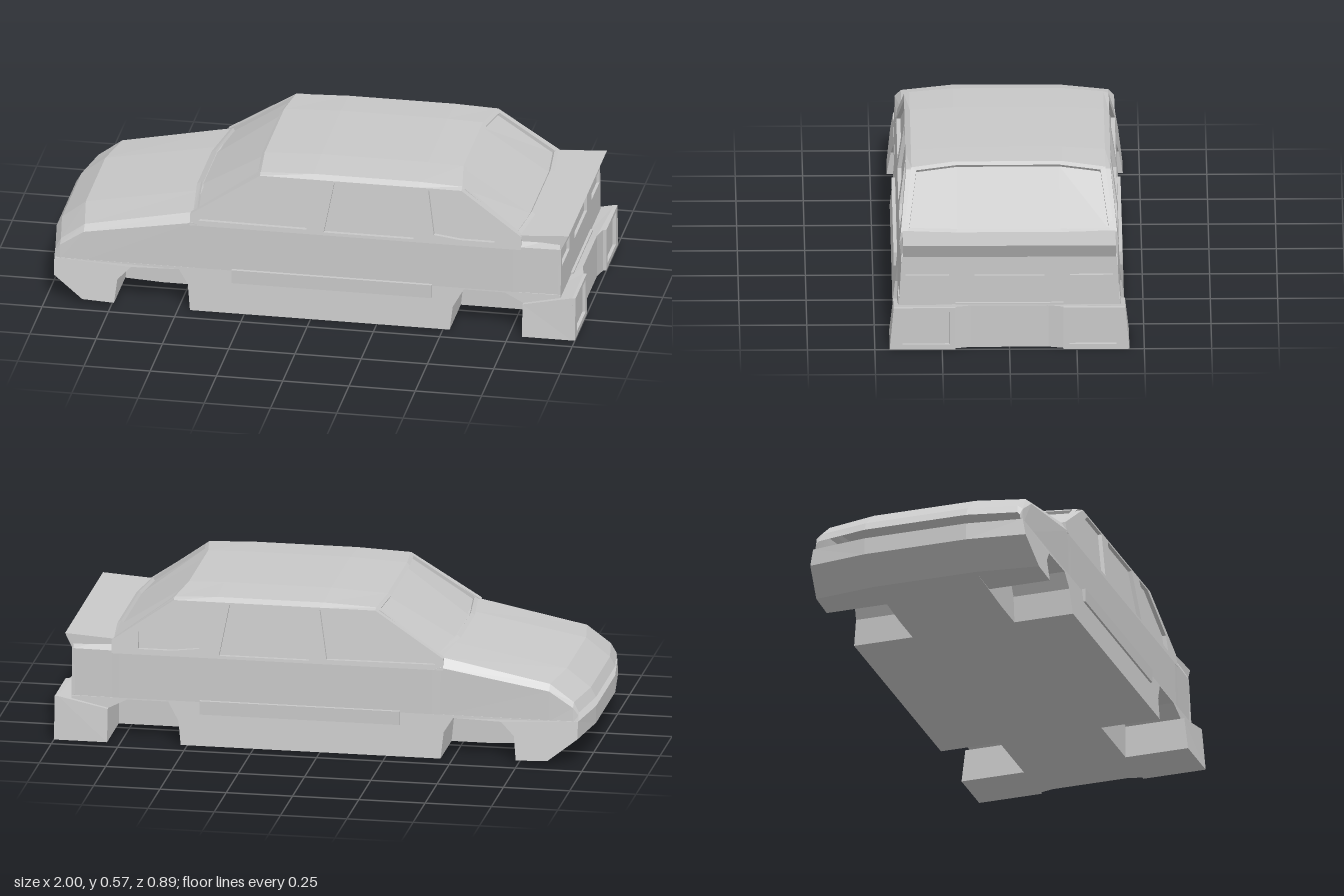
import * as THREE from 'three';

const paint = new THREE.MeshStandardMaterial({ color: 0xc8c8c8, flatShading: true, side: THREE.DoubleSide });
paint.name = 'light grey';

const shapeOf = (pts, holes = []) => {
  const s = new THREE.Shape(pts.map(p => new THREE.Vector2(...p)));
  for (const h of holes) s.holes.push(new THREE.Path(h.map(p => new THREE.Vector2(...p))));
  return s;
};
const extrude = (pts, depth, holes) =>
  new THREE.ExtrudeGeometry(shapeOf(pts, holes), { depth, bevelEnabled: false });
const rect = (x0, x1, y0, y1) => [[x0, y0], [x1, y0], [x1, y1], [x0, y1]];

// Moves every vertex by a rule
function warp(geo, rule) {
  const p = geo.attributes.position;
  for (let i = 0; i < p.count; i++) p.setXYZ(i, ...rule(p.getX(i), p.getY(i), p.getZ(i)));
  geo.computeVertexNormals();
  return geo;
}

// Reflected copy in z with the corner order restored
function mirrored(geo) {
  const g = geo.index ? geo.toNonIndexed() : geo.clone();
  const p = g.attributes.position;
  const a = new THREE.Vector3(), b = new THREE.Vector3();
  for (let i = 0; i < p.count; i += 3) {
    a.fromBufferAttribute(p, i + 1);
    b.fromBufferAttribute(p, i + 2);
    p.setXYZ(i + 1, b.x, b.y, b.z);
    p.setXYZ(i + 2, a.x, a.y, a.z);
  }
  return warp(g, (x, y, z) => [x, y, -z]);
}

// Skin over rows of points
function skin(rows) {
  const v = [];
  for (let i = 0; i < rows.length - 1; i++)
    for (let j = 0; j < rows[i].length - 1; j++) {
      const a = rows[i][j], b = rows[i + 1][j], c = rows[i + 1][j + 1], d = rows[i][j + 1];
      v.push(...a, ...b, ...c, ...a, ...c, ...d);
    }
  const g = new THREE.BufferGeometry();
  g.setAttribute('position', new THREE.Float32BufferAttribute(v, 3));
  g.computeVertexNormals();
  return g;
}
// Half a row, completed across the centre line
const across = half => [...half, ...half.slice().reverse().map(([x, y, z]) => [x, y, -z])];

export function createModel() {
  const car = new THREE.Group();
  const add = (name, geo) => {
    const m = new THREE.Mesh(geo, paint);
    m.name = name;
    car.add(m);
  };
  const addPair = (name, geo) => {
    add(name + 'Left', geo);
    add(name + 'Right', mirrored(geo));
  };

  // Upper body: x, shoulder y and z, edge y and z, rise to the middle
  const stations = [
    [-1, 0.185, 0.4, 0.195, 0.39, 0.005], [-0.98, 0.215, 0.405, 0.232, 0.385, 0.004],
    [-0.89, 0.275, 0.407, 0.298, 0.385, 0.008], [-0.45, 0.345, 0.407, 0.38, 0.385, 0.008],
    [-0.42, 0.335, 0.408, 0.337, 0.36, 0], [0.76, 0.335, 0.408, 0.337, 0.36, 0],
    [0.79, 0.345, 0.406, 0.385, 0.385, 0.003], [0.935, 0.345, 0.402, 0.386, 0.385, 0.003],
  ];
  add('upperBody', skin(stations.map(([x, ys, zs, ye, ze, rise]) => {
    const corner = x < -0.8 ? 0.03 : 0;
    return across([[x + corner, 0.16, zs + 0.004], [x + corner, ys, zs], [x + corner, ye, ze], [x, ye + rise, 0.2]]);
  })));

  // Boot lid with rear lip
  add('bootLid', extrude([[0.785, 0.335], [0.935, 0.335], [0.967, 0.4], [0.785, 0.388]], 0.79).translate(0, 0, -0.395));

  // Rear panel with recessed lamps and plate
  const lamp = s => rect(s * 0.305 - 0.08, s * 0.305 + 0.08, 0.272, 0.325);
  const rearOutline = [[-0.41, 0.16], [0.41, 0.16], [0.4, 0.345], [-0.4, 0.345]];
  add('rearPanel', extrude(rearOutline, 0.012, [lamp(-1), lamp(1), rect(-0.13, 0.13, 0.27, 0.333)])
    .rotateY(Math.PI / 2).translate(0.928, 0, 0));
  add('rearLamps', new THREE.ShapeGeometry(shapeOf(rearOutline)).rotateY(Math.PI / 2).translate(0.929, 0, 0));

  // Floor and lower sides with wheel arches
  add('floor', extrude([[-1, 0.165], [-1, 0.1], [-0.89, 0.015], [-0.6, 0], [0.95, 0], [0.95, 0.165]], 0.4)
    .translate(0, 0, -0.2));
  const lowerSide = [
    [-1, 0.165], [-1, 0.1], [-0.89, 0.015], [-0.74, 0.01], [-0.73, 0.1], [-0.68, 0.15], [-0.5, 0.155],
    [-0.465, 0.1], [-0.455, 0], [0.525, 0], [0.535, 0.09], [0.575, 0.16], [0.73, 0.16],
    [0.81, 0.12], [0.94, 0.12], [0.94, 0.165],
  ];
  addPair('lowerSide', warp(extrude(lowerSide, 1), (x, y, z) => z < 0.5 ? [x, y, 0.2]
    : [x < -0.85 ? x + 0.03 : x, y, x < -0.6 ? 0.44 - y * 0.17 : 0.43 - y * 0.11]));
  addPair('sideMoulding', new THREE.BoxGeometry(0.755, 0.052, 0.03).translate(0.078, 0.146, 0.41));

  // Rear bumper: stepped plan, sloping ends and recessed corner panels
  const plan = [
    [0.8, -0.445], [0.988, -0.445], [0.988, -0.2], [0.975, -0.145],
    [0.975, 0.145], [0.988, 0.2], [0.988, 0.445], [0.8, 0.445],
  ];
  add('rearBumper', warp(extrude(plan, 0.165).rotateX(-Math.PI / 2), (x, y, z) => [
    x, x < 0.9 && y > 0.1 ? 0.125 : y, Math.abs(z) > 0.4 ? Math.sign(z) * (0.445 - y * 0.09) : z]));
  addPair('bumperCorner', extrude([[-0.445, 0], [-0.2, 0], [-0.2, 0.165], [-0.43, 0.165]], 0.012,
    [rect(-0.397, -0.222, 0.02, 0.15)]).rotateY(Math.PI / 2).translate(0.988, 0, 0));

  // Cabin sides leaning inward, with recessed windows
  const cabin = [[-0.46, 0.335], [0.79, 0.335], [0.79, 0.385], [0.56, 0.545], [-0.2, 0.545], [-0.46, 0.378]];
  const windows = [
    [[-0.43, 0.355], [-0.02, 0.352], [0.01, 0.537], [-0.15, 0.537]],
    [[0.045, 0.346], [0.385, 0.346], [0.35, 0.537], [0.08, 0.537]],
    [[0.46, 0.368], [0.56, 0.356], [0.69, 0.356], [0.69, 0.42], [0.53, 0.537], [0.435, 0.537]],
  ];
  const lean = (x, y, z) => [x, y, z + 0.383 - (y - 0.335) * 0.135];
  addPair('cabinSide', warp(extrude(cabin, 0.025, windows), lean));
  addPair('sideWindows', warp(new THREE.ShapeGeometry(shapeOf(cabin)).translate(0, 0, 0.01), lean));

  // Roof
  add('roof', skin([[-0.2, -0.215, 0.545, 0.552, 0.56], [0, 0, 0.545, 0.56, 0.57], [0.4, 0.4, 0.545, 0.56, 0.57],
    [0.56, 0.535, 0.545, 0.553, 0.566]].map(([xe, xm, y0, y1, y2]) =>
    across([[xe, y0, 0.38], [xe, y1, 0.36], [xm, y2, 0.2]]))));

  // Framed screens: outer rim, lip and recessed glass
  function screen(name, rowA, rowB, inset) {
    const outer = [...across(rowA), ...across(rowB).reverse()];
    const mid = [0, 1, 2].map(k => outer.reduce((s, p) => s + p[k], 0) / outer.length);
    const shrink = [0.1, 0.1, 0.05];
    const inner = outer.map(p => p.map((c, k) => c + (mid[k] - c) * shrink[k]));
    const deep = inner.map(p => p.map((c, k) => c + inset[k]));
    const close = loop => [...loop, loop[0]];
    add(name + 'Frame', skin([outer, inner, deep].map(close)));
    add(name, skin([deep.slice(0, 4), deep.slice(4).reverse()]));
  }
  screen('windscreen', [[-0.45, 0.38, 0.39], [-0.48, 0.387, 0.15]],
    [[-0.2, 0.552, 0.36], [-0.215, 0.56, 0.2]], [0.006, -0.01, 0]);
  screen('rearScreen', [[0.56, 0.553, 0.36], [0.535, 0.566, 0.2]],
    [[0.785, 0.387, 0.39], [0.805, 0.39, 0.2]], [-0.007, -0.01, 0]);

  return car;
}
